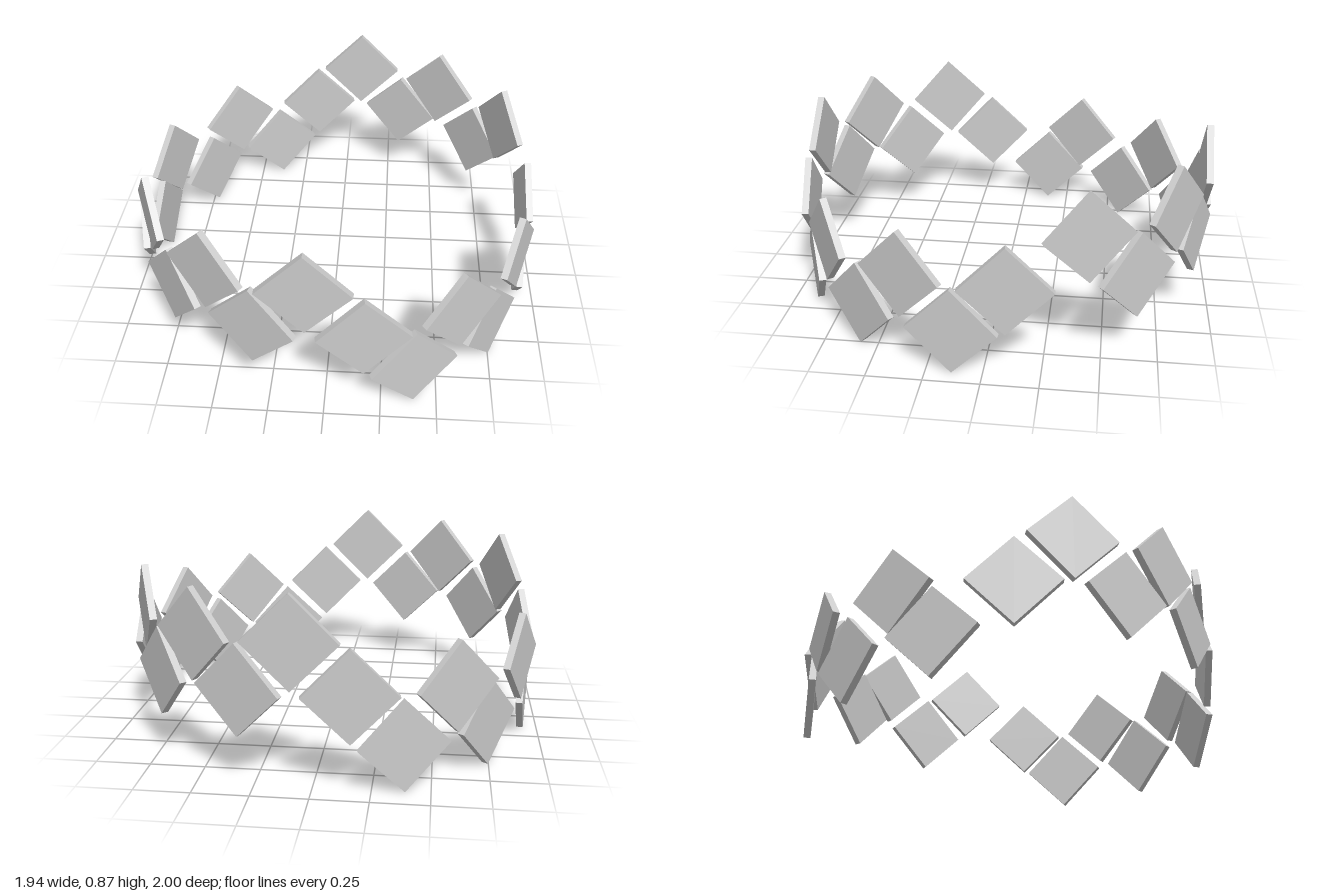
import * as THREE from 'three';

// A ring of thin square tiles standing on their corners, in a checkered wave
// that rises and dips twice around the circle.
const SIDE = 0.29;
const THICKNESS = 0.032;

// Each tile: x, y, z of the centre, then its yaw in degrees (0 faces the front).
const TILES = {
  upperTile: [
    [-0.08, 0.665, 0.95, 0], [-0.515, 0.64, 0.8, -33], [-0.825, 0.64, 0.435, -65],
    [0.08, 0.66, -0.955, 180], [0.515, 0.635, -0.8, 147], [0.825, 0.635, -0.435, 115],
  ],
  middleTile: [
    [0.17, 0.44, 0.955, 8], [0.59, 0.43, 0.755, 36], [0.865, 0.435, 0.36, 67],
    [0.935, 0.425, -0.1, 94], [0.705, 0.41, -0.64, 132], [0.31, 0.43, -0.9, 159],
    [-0.31, 0.43, 0.9, -21], [-0.7, 0.41, 0.64, -48], [-0.92, 0.405, 0.2, -78],
    [-0.885, 0.43, -0.33, -111], [-0.6, 0.43, -0.75, -143], [-0.165, 0.44, -0.955, -172],
  ],
  lowerTile: [
    [0.39, 0.205, 0.88, 24], [0.74, 0.205, 0.575, 55], [0.918, 0.205, 0.135, 85],
    [-0.385, 0.205, -0.88, -156], [-0.735, 0.205, -0.57, -125], [-0.92, 0.205, -0.14, -98],
  ],
};

export function createModel() {
  const ring = new THREE.Group();
  ring.name = 'tileRing';
  const material = new THREE.MeshStandardMaterial({ color: 0xcccccc });

  // Square plate turned onto one corner
  const plate = new THREE.BoxGeometry(SIDE, SIDE, THICKNESS).rotateZ(Math.PI / 4);

  for (const [name, places] of Object.entries(TILES)) {
    const row = new THREE.Group();
    row.name = name + 's';
    places.forEach(([x, y, z, yaw], i) => {
      const tile = new THREE.Mesh(plate, material);
      tile.name = `${name}${i + 1}`;
      tile.position.set(x, y, z);
      tile.rotation.y = THREE.MathUtils.degToRad(yaw);
      row.add(tile);
    });
    ring.add(row);
  }
  return ring;
}
